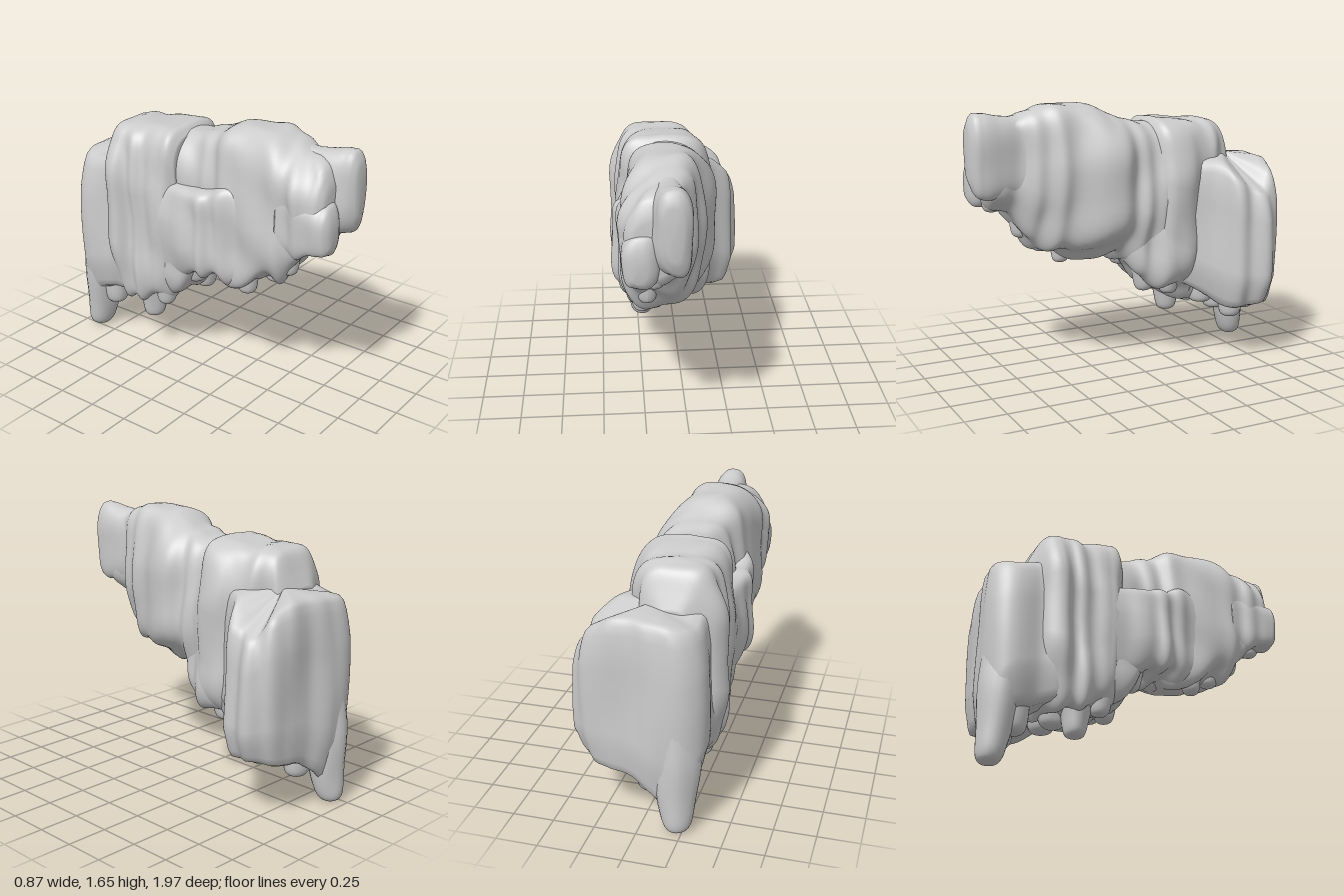
import * as THREE from 'three';

const material = new THREE.MeshStandardMaterial({ color: 0xcccccc, side: THREE.DoubleSide });

// Vertical flutes (mostly a function of x and z) with softer lumps along y
function relief(x, y, z) {
  return 0.012 * Math.sin(z * 27 + 2 * Math.sin(z * 11 + x * 4) + x * 6 + y * 2)
    + 0.010 * Math.sin(x * 31 + z * 17 + Math.sin(y * 5))
    + 0.010 * Math.sin(y * 13 + z * 8 + x * 9);
}

// Joins equal-length closed rings into one smooth skin
function skin(name, rings) {
  const n = rings[0].length, index = [];
  for (let i = 0; i < rings.length - 1; i++) {
    for (let j = 0; j < n; j++) {
      const a = i * n + j, b = i * n + (j + 1) % n;
      index.push(a, b, a + n, b, b + n, a + n);
    }
  }
  const geometry = new THREE.BufferGeometry().setFromPoints(rings.flat());
  geometry.setIndex(index);
  geometry.computeVertexNormals();
  const mesh = new THREE.Mesh(geometry, material);
  mesh.name = name;
  return mesh;
}

// Rock lofted along z; stations are [z, xMin, xMax, yMin, yMax, xBottom, xTop]
function loft(name, stations, roundness, rough = 1, steps = 80, sides = 80) {
  const table = new THREE.CubicInterpolant(stations.map(s => s[0]), stations.flatMap(s => s.slice(1)), 6);
  const z0 = stations[0][0], z1 = stations[stations.length - 1][0];
  const power = v => Math.sign(v) * Math.abs(v) ** roundness;
  const rings = [];
  for (let i = -1; i <= steps + 1; i++) {
    const z = THREE.MathUtils.lerp(z0, z1, THREE.MathUtils.clamp(i / steps, 0, 1));
    const [xa, xb, ya, yb, low, high] = table.evaluate(z);
    const mid = (xa + xb) / 2, cy = (ya + yb) / 2, ring = [];
    const size = i < 0 || i > steps ? 0 : 1;
    for (let j = 0; j < sides; j++) {
      const a = j / sides * Math.PI * 2, c = Math.cos(a), s = Math.sin(a);
      const lean = ((s > 0 ? high : low) - mid) * s * s;
      const x = mid + (lean + power(c) * (xb - xa) / 2) * size;
      const y = cy + power(s) * (yb - ya) / 2 * size;
      const d = relief(x, y, z) * rough * size;
      // The underside is more ragged than the top
      ring.push(new THREE.Vector3(x + c * d, y + s * d * (s < 0 ? 1.6 : 0.3), z));
    }
    rings.push(ring);
  }
  return skin(name, rings);
}

// Rock hung from an outline; rim points are [x, z, yBottom, yTop]
function drape(name, rim, cx, cz, lowY, highY) {
  const at = k => new THREE.CatmullRomCurve3(rim.map(p => new THREE.Vector3(p[0], p[k], p[1])), true).getPoints(159);
  const low = at(2), high = at(3);
  // Height fraction and horizontal scale up the wall
  const profile = [[0, 0], [0, 0.45], [0, 0.78], [0.02, 0.87], [0.07, 0.92], [0.15, 0.96]];
  for (let f = 0.22; f < 0.8; f += 0.06) profile.push([f, 1]);
  profile.push([0.84, 0.98], [0.91, 0.95], [0.96, 0.91], [0.99, 0.84], [1, 0.7], [1, 0.4], [1, 0]);
  const rings = profile.map(([f, s]) => low.map((p, j) => {
    const { x, z } = p;
    const edge = Math.min(1, s / 0.8);
    const bottom = THREE.MathUtils.lerp(lowY, p.y, edge), top = THREE.MathUtils.lerp(highY, high[j].y, edge);
    const y = THREE.MathUtils.lerp(bottom, top, f);
    const k = s * (1 + relief(x, y * 0.5, z) * 2.2);
    return new THREE.Vector3(cx + (x - cx) * k, y, cz + (z - cz) * k);
  }));
  return skin(name, rings);
}

// Hanging drip with a blunt tip, widening upwards; lean slides its top along z
function drip(x, z, bottom, radius, height, lean = 0) {
  const profile = [[0, 0], [0.45, 0.01], [0.72, 0.05], [0.88, 0.14], [1.02, 0.32], [1.22, 0.6], [1.3, 0.82], [0.9, 0.97], [0, 1]];
  const curve = new THREE.SplineCurve(profile.map(([r, h]) => new THREE.Vector2(r * radius, h * height)));
  const points = curve.getPoints(28).map(p => new THREE.Vector2(Math.max(0, p.x), p.y));
  const geometry = new THREE.LatheGeometry(points, 24);
  const pos = geometry.attributes.position;
  for (let i = 0; i < pos.count; i++) {
    const px = pos.getX(i), py = pos.getY(i), pz = pos.getZ(i);
    const k = 1 + 5 * relief(x + px, py + bottom, z + pz);
    pos.setX(i, px * k);
    pos.setZ(i, pz * k + lean * py / height);
  }
  geometry.computeVertexNormals();
  const mesh = new THREE.Mesh(geometry, material);
  mesh.name = 'drip';
  mesh.position.set(x, bottom, z);
  return mesh;
}

export function createModel() {
  const group = new THREE.Group();
  group.name = 'hangingRock';

  // Long forward mass, rising from a stepped underside
  group.add(loft('frontMass', [
    [-0.3, -0.28, 0.15, 0.62, 1.48, -0.1, -0.08],
    [-0.16, -0.29, 0.17, 0.58, 1.51, -0.1, -0.08],
    [-0.06, -0.30, 0.17, 0.62, 1.52, -0.1, -0.08],
    [0.02, -0.30, 0.18, 0.67, 1.54, -0.12, -0.08],
    [0.12, -0.31, 0.19, 0.70, 1.57, -0.15, -0.09],
    [0.22, -0.33, 0.18, 0.68, 1.63, -0.18, -0.11],
    [0.35, -0.36, 0.13, 0.67, 1.64, -0.2, -0.11],
    [0.5, -0.37, 0.10, 0.75, 1.64, -0.2, -0.11],
    [0.6, -0.37, 0.05, 0.80, 1.61, -0.2, -0.12],
    [0.7, -0.365, 0.0, 0.95, 1.57, -0.2, -0.13],
    [0.8, -0.36, -0.01, 1.01, 1.55, -0.2, -0.14],
    [0.86, -0.34, -0.03, 1.06, 1.50, -0.2, -0.15],
    [0.89, -0.29, -0.07, 1.13, 1.42, -0.18, -0.15],
  ], 0.68));

  // Lower shelf along the right flank
  group.add(loft('sideShelf', [
    [-0.3, -0.36, -0.05, 0.6, 1.2, -0.22, -0.24],
    [-0.15, -0.38, -0.02, 0.62, 1.22, -0.22, -0.24],
    [0.0, -0.425, 0.0, 0.68, 1.23, -0.22, -0.24],
    [0.12, -0.4, 0.0, 0.7, 1.25, -0.22, -0.24],
    [0.25, -0.38, 0.0, 0.7, 1.3, -0.22, -0.24],
    [0.4, -0.34, -0.05, 0.75, 1.28, -0.2, -0.2],
  ], 0.55));

  // Two blunt knobs on the front end
  group.add(loft('upperKnob', [
    [0.6, -0.23, 0.02, 1.06, 1.58, -0.1, -0.11],
    [0.8, -0.22, 0.0, 1.1, 1.585, -0.09, -0.11],
    [0.91, -0.2, 0.0, 1.12, 1.6, -0.08, -0.1],
    [0.96, -0.18, -0.015, 1.16, 1.59, -0.08, -0.1],
    [0.99, -0.14, -0.06, 1.24, 1.52, -0.1, -0.1],
  ], 0.8, 0.7, 30, 48));
  group.add(loft('lowerKnob', [
    [0.6, -0.37, -0.13, 0.97, 1.42, -0.26, -0.22],
    [0.78, -0.375, -0.15, 1.0, 1.38, -0.28, -0.23],
    [0.87, -0.37, -0.18, 1.02, 1.34, -0.29, -0.25],
    [0.92, -0.355, -0.22, 1.05, 1.3, -0.3, -0.28],
    [0.94, -0.32, -0.26, 1.1, 1.23, -0.3, -0.29],
  ], 0.72, 0.7, 30, 48));

  // Tall central crag, narrowing towards a steep rear step
  group.add(loft('middleCrag', [
    [-0.73, -0.23, 0.0, 0.6, 1.28, -0.12, -0.12],
    [-0.69, -0.30, 0.05, 0.5, 1.37, -0.12, -0.12],
    [-0.64, -0.37, 0.09, 0.42, 1.47, -0.14, -0.12],
    [-0.56, -0.405, 0.12, 0.36, 1.51, -0.16, -0.12],
    [-0.47, -0.39, 0.16, 0.35, 1.51, -0.17, -0.11],
    [-0.36, -0.37, 0.21, 0.36, 1.52, -0.15, -0.09],
    [-0.25, -0.37, 0.20, 0.42, 1.53, -0.14, -0.09],
    [-0.18, -0.36, 0.17, 0.47, 1.53, -0.08, -0.1],
    [-0.14, -0.30, 0.13, 0.53, 1.49, -0.08, -0.1],
  ], 0.5));
  // Low belly joining the crag to the forward mass
  group.add(loft('belly', [
    [-0.4, -0.34, 0.17, 0.38, 0.95, -0.1, -0.1],
    [-0.22, -0.36, 0.18, 0.46, 1.0, -0.08, -0.1],
    [-0.1, -0.37, 0.15, 0.51, 1.0, -0.08, -0.1],
    [-0.03, -0.34, 0.12, 0.6, 1.0, -0.1, -0.1],
    [0.03, -0.25, 0.05, 0.7, 0.95, -0.1, -0.1],
  ], 0.6));

  // Broad fluted back, spreading to the left
  group.add(drape('rearMass', [
    [0.1, -0.24, 0.5, 1.26], [0.2, -0.4, 0.42, 1.28], [0.28, -0.52, 0.35, 1.27], [0.37, -0.6, 0.34, 1.18],
    [0.39, -0.7, 0.35, 1.12], [0.42, -0.8, 0.36, 1.1], [0.35, -0.86, 0.34, 1.2],
    [0.22, -0.91, 0.32, 1.27], [0.1, -0.91, 0.31, 1.28], [-0.05, -0.94, 0.23, 1.28],
    [-0.2, -0.96, 0.14, 1.27], [-0.3, -0.91, 0.2, 1.26], [-0.365, -0.82, 0.32, 1.25],
    [-0.36, -0.68, 0.36, 1.28], [-0.385, -0.52, 0.4, 1.35], [-0.1, -0.36, 0.42, 1.3],
  ], 0, -0.68, 0.38, 1.3));

  // Drips along the underside: x, z, bottom, radius, height, lean
  const drips = [
    [-0.21, -0.895, 0.0, 0.11, 0.95, 0.09], [-0.03, -0.78, 0.18, 0.09, 0.5], [-0.2, -0.76, 0.2, 0.09, 0.5],
    [-0.23, -0.4, 0.23, 0.085, 0.4], [-0.27, -0.27, 0.37, 0.07, 0.4], [-0.12, -0.5, 0.31, 0.09, 0.4],
    [0.05, -0.5, 0.34, 0.09, 0.4], [0.22, -0.72, 0.32, 0.09, 0.4],
    [-0.03, -0.13, 0.44, 0.08, 0.45], [0.04, -0.27, 0.42, 0.08, 0.4], [-0.23, -0.05, 0.58, 0.08, 0.4],
    [-0.25, 0.35, 0.63, 0.07, 0.4], [-0.19, 0.5, 0.73, 0.075, 0.4],
    [-0.23, 0.62, 0.82, 0.065, 0.4], [-0.1, 0.15, 0.68, 0.08, 0.4], [-0.2, 0.81, 1.0, 0.065, 0.3],
  ];
  const hanging = new THREE.Group();
  hanging.name = 'drips';
  drips.forEach(d => hanging.add(drip(...d)));
  group.add(hanging);
  return group;
}
